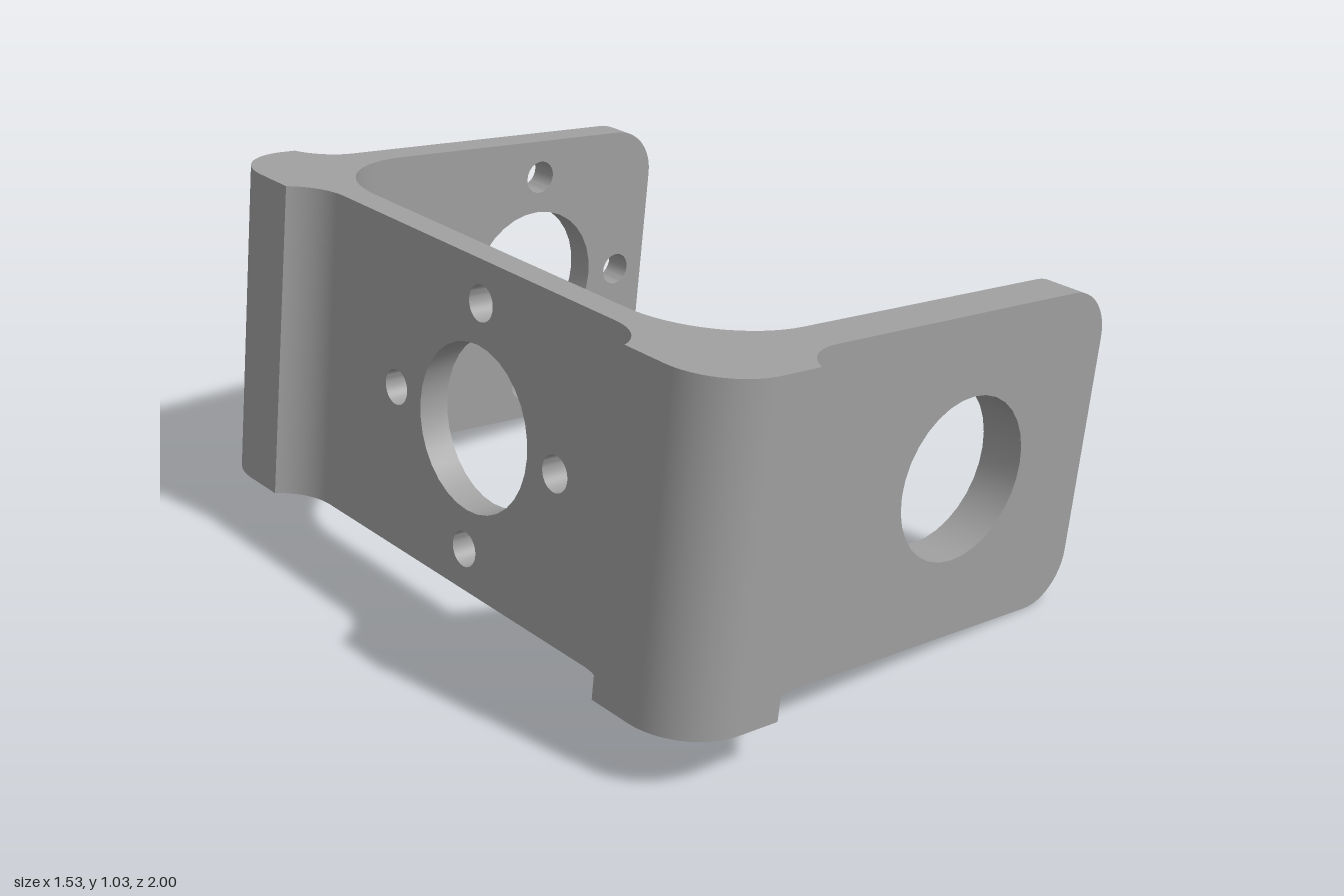
import * as THREE from 'three';
import { toCreasedNormals } from 'three/addons/utils/BufferGeometryUtils.js';

const HEIGHT = 0.882;          // height of the bracket strip
const TILT = 0.1204;           // whole bracket leans by 6.9 degrees
const WEB = [0.09, 0.175];     // outer and inner face of the back plate
const SEAM = 0.465;            // where corners hand over to the arms
const HOLE = 0.222, BOLT = 0.048, BOLT_CIRCLE = 0.33;

// One entry per side: arm faces, arm length, boss edges and radii
const SIDES = [
  { name: 'left', side: 1, inner: 0.78, outer: 0.905, length: 1.453, crease: 0.306, bossEdge: 0.688, fillet: 0.158, bolts: false },
  { name: 'right', side: -1, inner: 0.83, outer: 0.915, length: 1.408, crease: 0.22, bossEdge: 0.695, fillet: 0.15, bolts: true },
];

// Points on an arc from angle a to angle b
function arc(cx, cy, r, a, b, n = 12) {
  return Array.from({ length: n + 1 }, (_, i) => {
    const t = a + (b - a) * i / n;
    return new THREE.Vector2(cx + r * Math.cos(t), cy + r * Math.sin(t));
  });
}

function extrude(shape, depth) {
  return new THREE.ExtrudeGeometry(shape, { depth, bevelEnabled: false, curveSegments: 16 });
}

// Large bore, optionally with four bolt holes round it
function addHoles(shape, x, y, bolts) {
  const circles = [[x, y, HOLE]];
  if (bolts) {
    for (let i = 0; i < 4; i++) {
      const a = i * Math.PI / 2;
      circles.push([x + BOLT_CIRCLE * Math.cos(a), y + BOLT_CIRCLE * Math.sin(a), BOLT]);
    }
  }
  for (const [cx, cy, r] of circles) {
    shape.holes.push(new THREE.Path().absarc(cx, cy, r, 0, Math.PI * 2, true));
  }
}

// Thickened corner: inner fillet, raised outer boss with small fillets
function cornerGeometry({ side, inner, outer, crease, bossEdge, fillet }) {
  const PI = Math.PI, R = SEAM - WEB[1], round = 0.18, small = 0.15;
  const armAngle = Math.acos(1 - (1 - outer) / fillet);
  const webAngle = Math.acos(1 - WEB[0] / small);
  const start = inner - R;
  const points = [
    ...arc(SEAM, start, R, PI, PI / 2, 16),
    new THREE.Vector2(SEAM, outer),
    ...arc(crease + fillet * Math.sin(armAngle), outer + fillet, fillet, -PI / 2, -PI / 2 - armAngle),
    ...arc(round, 1 - round, round, PI / 2, PI),
    ...arc(WEB[0] - small, bossEdge - small * Math.sin(webAngle), small, webAngle, 0),
    new THREE.Vector2(WEB[0], start),
  ];
  const shape = new THREE.Shape(points.map(p => new THREE.Vector2(p.x, -side * p.y)));
  return extrude(shape, HEIGHT).rotateX(-PI / 2);
}

// Flat arm with two rounded free corners
function armGeometry({ side, inner, outer, length, bolts }) {
  const r = 0.14, PI = Math.PI;
  const shape = new THREE.Shape([
    new THREE.Vector2(SEAM, 0),
    ...arc(length - r, r, r, -PI / 2, 0),
    ...arc(length - r, HEIGHT - r, r, 0, PI / 2),
    new THREE.Vector2(SEAM, HEIGHT),
  ]);
  addHoles(shape, 0.974, HEIGHT / 2, bolts);
  return extrude(shape, outer - inner).translate(0, 0, side > 0 ? inner : -outer);
}

// Plate joining the two corners
function webGeometry() {
  const [a, b] = SIDES.map(s => -s.side * (s.inner - (SEAM - WEB[1])));
  const shape = new THREE.Shape([[a, 0], [b, 0], [b, HEIGHT], [a, HEIGHT]].map(p => new THREE.Vector2(...p)));
  addHoles(shape, -0.053, HEIGHT / 2, true);
  return extrude(shape, WEB[1] - WEB[0]).rotateY(Math.PI / 2).translate(WEB[0], 0, 0);
}

export function createModel() {
  const metal = new THREE.MeshStandardMaterial({ color: 0xa0a0a0 });
  metal.name = 'grey metal';

  const bracket = new THREE.Group();
  bracket.name = 'bracket';
  const add = (name, geometry) => {
    const mesh = new THREE.Mesh(toCreasedNormals(geometry, 0.5), metal);
    mesh.name = name;
    bracket.add(mesh);
  };

  add('connectingPlate', webGeometry());
  for (const s of SIDES) {
    add(s.name + 'Corner', cornerGeometry(s));
    add(s.name + 'Arm', armGeometry(s));
  }

  // Lean the bracket and set it on the ground
  bracket.rotation.z = -TILT;
  bracket.position.set(-0.768, 0.16, 0);

  const model = new THREE.Group();
  model.name = 'mountingBracket';
  model.add(bracket);
  return model;
}
